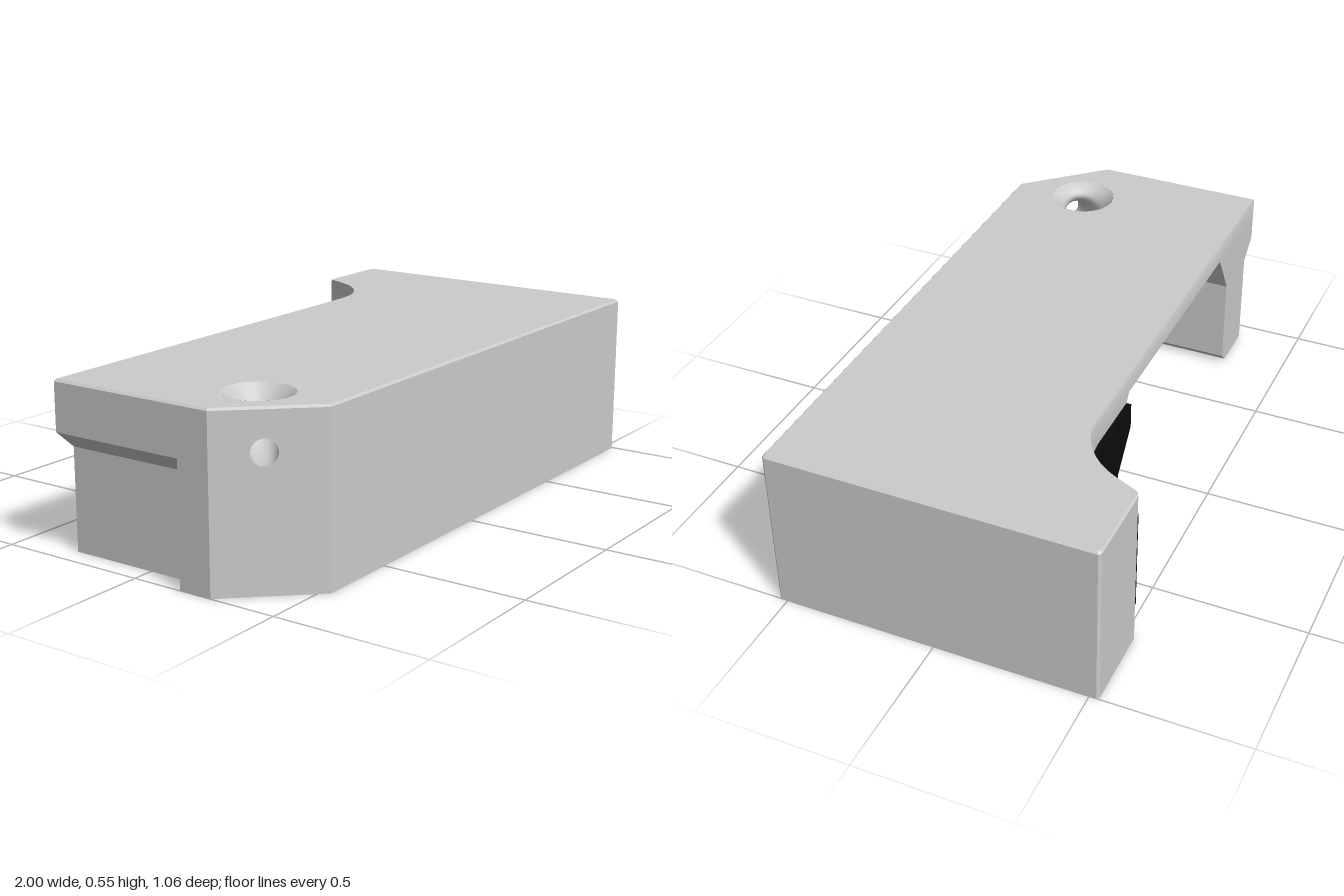
import * as THREE from 'three';
import { toCreasedNormals } from 'three/addons/utils/BufferGeometryUtils.js';

const V = (x, y, z) => new THREE.Vector3(x, y, z);
const HEIGHT = 0.55;

// Skin a list of equal-length point loops; keep(i, band) can leave a strip open
function loft(loops, keep = () => true) {
  const pos = [];
  const tri = (a, b, c) => {
    const area = b.clone().sub(a).cross(c.clone().sub(a)).length();
    if (area > 1e-7) pos.push(...a, ...b, ...c);
  };
  for (let k = 0; k < loops.length - 1; k++) {
    const a = loops[k], b = loops[k + 1], n = a.length;
    for (let i = 0; i < n; i++) {
      if (!keep(i, k)) continue;
      const j = (i + 1) % n;
      tri(a[i], a[j], b[j]);
      tri(a[i], b[j], b[i]);
    }
  }
  const g = new THREE.BufferGeometry();
  g.setAttribute('position', new THREE.Float32BufferAttribute(pos, 3));
  return toCreasedNormals(g, 0.45);
}

function circle(x, y, r) {
  return new THREE.Path().absarc(x, y, r, 0, Math.PI * 2, true);
}

export function createModel() {
  const model = new THREE.Group();
  const grey = new THREE.MeshStandardMaterial({ color: 0xcccccc });
  const greyDouble = new THREE.MeshStandardMaterial({ color: 0xcccccc, side: THREE.DoubleSide });
  const black = new THREE.MeshStandardMaterial({ color: 0x0c0c0c, side: THREE.DoubleSide });
  const add = (name, geometry, material = grey) => {
    const mesh = new THREE.Mesh(geometry, material);
    mesh.name = name;
    model.add(mesh);
    return mesh;
  };

  // Concave sweep in the back wall
  const sweep = new THREE.CatmullRomCurve3([
    V(0.45, 0, -0.29), V(0.53, 0, -0.303), V(0.61, 0, -0.349),
    V(0.665, 0, -0.41), V(0.72, 0, -0.525),
  ]);
  const sweepPoints = sweep.getPoints(20);

  // Plan outline at one height: pocket sides, pocket depth and end recess vary
  function section([y, pocketMinX, pocketMaxX, pocketZ, endX, inset = 0]) {
    const plan = [
      [-0.77, 0.53], [0.992, 0.53], [1, 0.522], [1, -0.522], [0.992, -0.53], [0.73, -0.53],
      ...sweepPoints.map((p) => [p.x, p.z]).reverse(),
      [pocketMaxX, -0.29], [pocketMaxX, pocketZ], [pocketMinX, pocketZ], [pocketMinX, -0.29],
      [endX, -0.29], [endX, 0.17], [-1, 0.17], [-1, 0.28],
    ];
    return plan.map(([x, z]) => V(x * (1 - inset), y, z * (1 - inset * 1.6)));
  }
  const levels = [
    [0, -0.765, 0.325, 0.255, -0.93],
    [0.03, -0.735, 0.295, 0.26, -0.93],
    [0.33, -0.735, 0.295, 0.285, -0.93],
    [0.39, -0.70, 0.26, 0.29, -1],
    [0.485, -0.64, 0.2, 0.3, -1],
    [0.485, -0.64, 0.2, -0.29, -1],
    [0.543, -0.64, 0.2, -0.29, -1],
    [HEIGHT, -0.64, 0.2, -0.29, -1, 0.007],
  ].map(section);
  const last = levels[0].length - 1;
  const topBand = levels.length - 2;
  add('housingWalls', loft(levels, (i, band) => i !== last || band === topBand));

  // Underside and top faces
  const underside = new THREE.Shape(levels[0].map((p) => new THREE.Vector2(p.x, p.z)));
  add('underside', new THREE.ShapeGeometry(underside).rotateX(Math.PI / 2));

  const holeX = -0.77, holeZ = 0.28, holeY = 0.42;
  const topOutline = levels[levels.length - 1]
    .filter((p, i, all) => i === 0 || p.distanceTo(all[i - 1]) > 1e-5)
    .map((p) => new THREE.Vector2(p.x, -p.z));
  const top = new THREE.Shape(topOutline);
  top.holes.push(circle(holeX, -holeZ, 0.11));
  add('topFace', new THREE.ShapeGeometry(top, 24).rotateX(-Math.PI / 2).translate(0, HEIGHT, 0));

  // Cut corner with the side hole
  const dx = 0.23, dz = 0.25, width = Math.hypot(dx, dz);
  const holeU = 0.23 * dx / width;
  const corner = new THREE.Shape([
    new THREE.Vector2(0, 0), new THREE.Vector2(width, 0),
    new THREE.Vector2(width, 0.543), new THREE.Vector2(0, 0.543),
  ]);
  corner.holes.push(circle(holeU, holeY, 0.04));
  const cornerFace = add('cutCorner', new THREE.ShapeGeometry(corner, 24));
  cornerFace.rotation.y = -Math.atan2(dz, dx);
  cornerFace.position.set(-1, 0, 0.28);

  // Curved cord tunnel, flared at the top and narrow at the side
  const tunnelPath = new THREE.QuadraticBezierCurve3(
    V(holeX, HEIGHT, holeZ),
    V(holeX, holeY, holeZ),
    V(-1 + holeU * dx / width, holeY, 0.28 + holeU * dz / width),
  );
  const rings = 28, sides = 24;
  const tunnel = new THREE.TubeGeometry(tunnelPath, rings, 1, sides);
  const p = tunnel.attributes.position;
  for (let i = 0; i < p.count; i++) {
    const t = Math.floor(i / (sides + 1)) / rings;
    const centre = tunnelPath.getPointAt(t);
    const radius = 0.04 + 0.028 * (1 - t) + 0.042 * Math.max(0, 1 - t / 0.3) ** 2;
    const v = V().fromBufferAttribute(p, i).sub(centre).multiplyScalar(radius).add(centre);
    p.setXYZ(i, v.x, v.y, v.z);
  }
  tunnel.computeVertexNormals();
  add('cordTunnel', tunnel, greyDouble);

  // Thin dark strip following the back wall, with a notched end
  const strip = (x, z, nx, nz, low) => {
    const t = 0.016, high = 0.456;
    return [
      V(x + nx * t, high, z + nz * t), V(x + nx * t, low, z + nz * t),
      V(x, low, z), V(x, high, z),
    ];
  };
  const stations = [
    strip(0.22, -0.29, 0, -1, 0.37),
    strip(0.318, -0.29, 0, -1, 0.25),
    strip(0.318, -0.29, 0, -1, 0.11),
  ];
  for (let i = 0; i <= 20; i++) {
    const u = i / 20 * 0.97;
    const c = sweep.getPointAt(u), d = sweep.getTangentAt(u);
    stations.push(strip(c.x, c.z, d.z, -d.x, 0.11));
  }
  const collapse = (loop) => loop.map((q, i) => loop[i < 2 ? i : 3 - i].clone());
  add('gripStrip', loft([collapse(stations[0]), ...stations, collapse(stations[stations.length - 1])]), black);

  return model;
}
